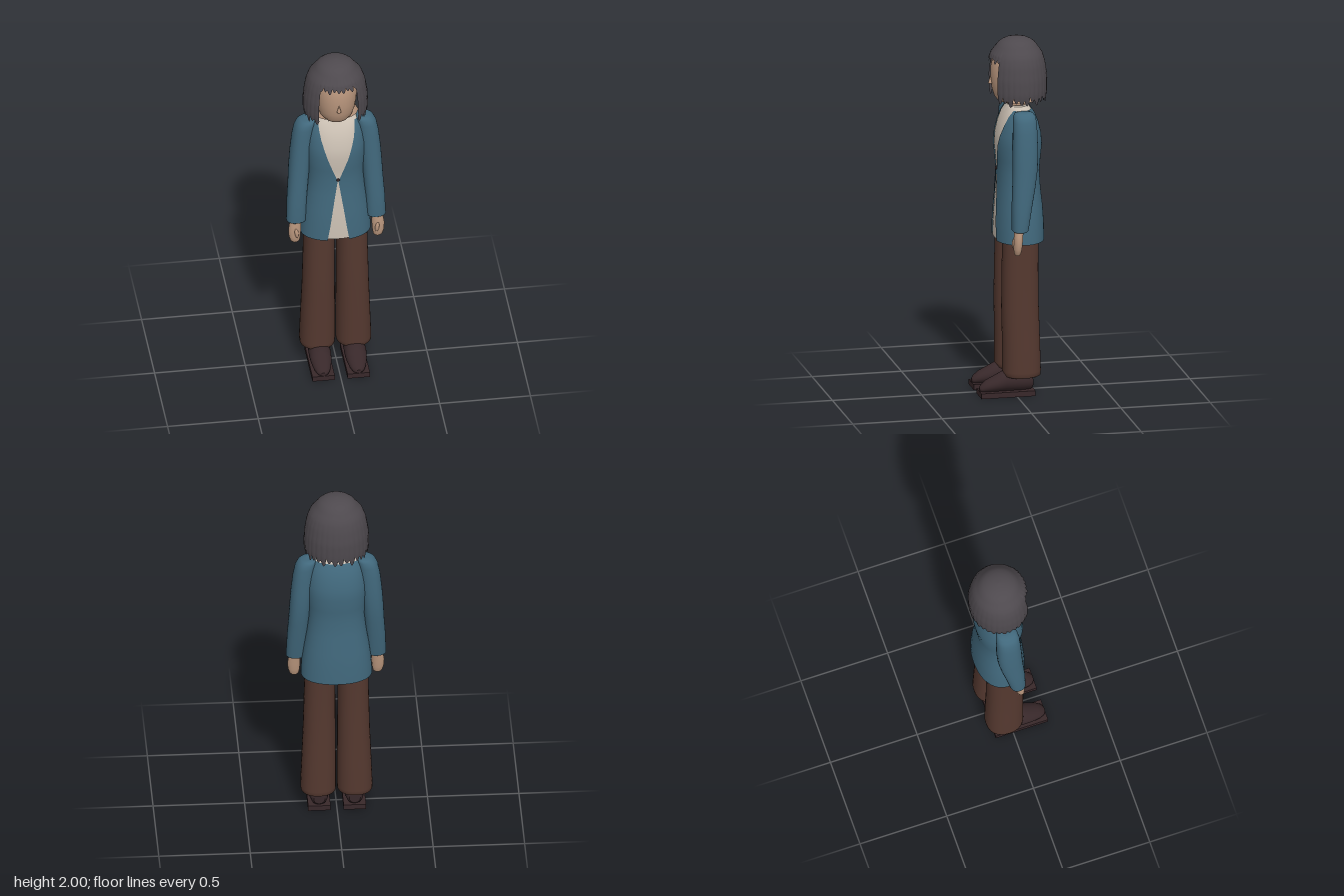
import * as THREE from 'three';

const mat = (name, color, side = THREE.FrontSide) => {
  const m = new THREE.MeshStandardMaterial({ color, side });
  m.name = name;
  return m;
};

// Stack of rounded rings [y, cx, cz, rx, rz, gap], bottom to top.
// gap is the half width of an opening at the front; n is the squareness.
function loft(rings, { n = 2, seg = 36, open = false, caps = true } = {}) {
  const pos = [], idx = [], cols = open ? seg + 1 : seg;
  const bend = (v) => Math.sign(v) * Math.abs(v) ** (2 / n);
  const addRing = ([y, cx, cz, rx, rz, gap = 0]) => {
    const a0 = open ? Math.asin(Math.min(1, (gap / rx) ** (n / 2))) : 0;
    for (let i = 0; i < cols; i++) {
      const a = a0 + (i / seg) * (2 * Math.PI - 2 * a0);
      pos.push(cx + rx * bend(Math.sin(a)), y, cz + rz * bend(Math.cos(a)));
    }
  };
  rings.forEach(addRing);
  for (let j = 0; j < rings.length - 1; j++)
    for (let i = 0; i < seg; i++) {
      const k = (i + 1) % cols, a = j * cols + i, b = j * cols + k;
      idx.push(a, b, b + cols, a, b + cols, a + cols);
    }
  if (caps && !open)
    [rings[0], rings[rings.length - 1]].forEach((r, top) => {
      const s = pos.length / 3;
      addRing(r);
      pos.push(r[1], r[0], r[2]);
      for (let i = 0; i < seg; i++) {
        const a = s + i, b = s + (i + 1) % seg;
        top ? idx.push(a, b, s + seg) : idx.push(b, a, s + seg);
      }
    });
  return build(pos, idx);
}

function build(pos, idx) {
  // pos uses [x, y, z] order; cap centres are written the same way
  const g = new THREE.BufferGeometry();
  g.setAttribute('position', new THREE.Float32BufferAttribute(pos, 3));
  g.setIndex(idx);
  g.computeVertexNormals();
  return g;
}

// Hair outline [y, rx, rz]
const HAIR = [[1.62, 0.163, 0.155], [1.7, 0.177, 0.164], [1.78, 0.175, 0.166], [1.86, 0.163, 0.155],
  [1.91, 0.145, 0.14], [1.95, 0.112, 0.112]];
function hairRadius(y) {
  let i = 0;
  while (i < HAIR.length - 2 && y > HAIR[i + 1][0]) i++;
  const [a, b] = [HAIR[i], HAIR[i + 1]];
  const t = (y - a[0]) / (b[0] - a[0]);
  return [a[1] + (b[1] - a[1]) * t, a[2] + (b[2] - a[2]) * t];
}

// Curtain of locks between two angles, with a pointed hem
function hairCurtain(a0, a1, locks, hem, depth, scale) {
  const cols = locks * 6, rows = 14, pos = [], idx = [];
  for (let j = 0; j <= rows; j++)
    for (let i = 0; i <= cols; i++) {
      const a = a0 + (a1 - a0) * i / cols, lock = Math.floor(i / 6);
      const p = (i % 6) / 6, edge = Math.abs(2 * p - 1);
      const low = hem + depth * edge ** 1.6 + depth * 0.4 * Math.sin(lock * 2.4);
      const y = low + (1.95 - low) * j / rows;
      const [rx, rz] = hairRadius(y);
      const s = scale * (1 + 0.018 * (1 - edge * edge) * (1 - j / rows));
      pos.push(rx * s * Math.sin(a), y, -0.03 + rz * s * Math.cos(a));
    }
  for (let j = 0; j < rows; j++)
    for (let i = 0; i < cols; i++) {
      const a = j * (cols + 1) + i, c = a + cols + 1;
      idx.push(a, a + 1, c + 1, a, c + 1, c);
    }
  return build(pos, idx);
}

export function createModel() {
  const skin = mat('skin', 0xb8957c);
  const hair = mat('hair', 0x4e494e, THREE.DoubleSide);
  const blue = mat('jacketBlue', 0x41687c, THREE.DoubleSide);
  const cream = mat('shirtCream', 0xcbc0b3, THREE.DoubleSide);
  const brown = mat('trouserBrown', 0x54382f);
  const dark = mat('shoeBrown', 0x38282a);
  const model = new THREE.Group();
  model.name = 'standingWoman';
  const add = (name, geo, m, x = 0, y = 0, z = 0, parent = model) => {
    const mesh = new THREE.Mesh(geo, m);
    mesh.name = name;
    mesh.position.set(x, y, z);
    parent.add(mesh);
    return mesh;
  };
  const ball = (rx, ry, rz) => new THREE.SphereGeometry(1, 24, 16).scale(rx, ry, rz);

  // Jacket, open at the front above and below one button
  const body = [
    [0.865, 0, -0.037, 0.195, 0.138, 0.06], [0.95, 0, -0.037, 0.19, 0.137, 0.046],
    [1.05, 0, -0.037, 0.178, 0.131, 0.032], [1.15, 0, -0.036, 0.162, 0.121, 0.017],
    [1.25, 0, -0.035, 0.152, 0.116, 0.002], [1.32, 0, -0.035, 0.157, 0.122, 0.028],
    [1.4, 0, -0.035, 0.165, 0.13, 0.056], [1.46, 0, -0.035, 0.164, 0.125, 0.074],
    [1.52, 0, -0.035, 0.156, 0.111, 0.09], [1.57, 0, -0.035, 0.143, 0.092, 0.098],
    [1.605, 0, -0.035, 0.122, 0.07, 0.1]];
  add('jacket', loft(body, { n: 2.2, seg: 56, open: true }), blue);
  add('jacketButton', ball(0.009, 0.009, 0.006), dark, 0, 1.26, 0.084);

  // Shirt under the jacket
  const inner = body.map(([y, x, z, rx, rz]) => [y, x, z, rx - 0.006, rz - 0.005]);
  inner[0][0] = 0.872;
  add('shirt', loft([...inner, [1.615, 0, -0.035, 0.075, 0.06]], { n: 2.2, seg: 48 }), cream);
  add('shirtCollar', loft([[1.585, 0, -0.035, 0.09, 0.078], [1.622, 0, -0.035, 0.06, 0.058]],
    { caps: false }), cream);

  // Neck and head
  add('neck', new THREE.CylinderGeometry(0.048, 0.052, 0.16, 28), skin, 0, 1.64, -0.035);
  add('head', loft([[1.632, 0, 0, 0.045, 0.05], [1.645, 0, 0, 0.07, 0.075], [1.67, 0, -0.003, 0.09, 0.096],
    [1.71, 0, -0.005, 0.103, 0.111], [1.76, 0, -0.006, 0.111, 0.119], [1.82, 0, -0.008, 0.115, 0.122],
    [1.88, 0, -0.015, 0.112, 0.12], [1.92, 0, -0.025, 0.1, 0.105]]), skin);
  add('headBase', new THREE.CylinderGeometry(0.1, 0.125, 0.045, 32).scale(1, 1, 0.75), skin, 0, 1.67, -0.035);
  add('nose', new THREE.ConeGeometry(0.012, 0.045, 12), skin, 0, 1.765, 0.117);

  // Hair: crown, long sides and back, fringe
  const dome = [[0, 2], [0.03, 1.998], [0.06, 1.99], [0.085, 1.978], [0.103, 1.963], [0.115, 1.946]];
  add('hairCrown', new THREE.LatheGeometry(dome.reverse().map((p) => new THREE.Vector2(...p)), 40),
    hair, 0, 0, -0.03);
  add('hairCurtain', hairCurtain(0.66, 2 * Math.PI - 0.66, 26, 1.65, 0.03, 1), hair);
  add('hairFringe', hairCurtain(-0.72, 0.72, 9, 1.872, 0.018, 1.01), hair);

  // Limbs, mirrored
  for (const s of [1, -1]) {
    const side = new THREE.Group();
    side.name = s > 0 ? 'leftLimbs' : 'rightLimbs';
    model.add(side);
    const part = (name, rings, m, opt) =>
      add(name, loft(rings.map(([y, x, ...r]) => [y, s * x, ...r]), opt), m, 0, 0, 0, side);

    part('sleeve', [
      [0.955, 0.22, 0, 0.047, 0.038], [0.962, 0.22, 0, 0.054, 0.045], [1.1, 0.215, -0.012, 0.054, 0.056],
      [1.2, 0.207, -0.024, 0.055, 0.063], [1.3, 0.2, -0.033, 0.057, 0.068], [1.4, 0.191, -0.036, 0.059, 0.069],
      [1.5, 0.181, -0.037, 0.058, 0.067], [1.56, 0.172, -0.037, 0.055, 0.065],
      [1.59, 0.162, -0.037, 0.05, 0.06], [1.604, 0.153, -0.037, 0.04, 0.05], [1.608, 0.148, -0.037, 0.02, 0.03]],
    blue, { n: 2.3, seg: 28 });
    part('hand', [
      [0.822, 0.228, 0.016, 0.014, 0.01], [0.832, 0.228, 0.016, 0.025, 0.018], [0.86, 0.23, 0.015, 0.032, 0.023],
      [0.9, 0.23, 0.013, 0.035, 0.025], [0.935, 0.227, 0.01, 0.032, 0.025], [0.98, 0.222, 0.005, 0.026, 0.024]],
    skin, { seg: 24 });
    add('thumb', ball(0.011, 0.03, 0.011), skin, s * 0.222, 0.888, 0.035, side).rotation.z = -s * 0.15;
    part('trouserLeg', [
      [0.11, 0.1, -0.035, 0.088, 0.094], [0.116, 0.1, -0.035, 0.096, 0.103], [0.14, 0.1, -0.035, 0.097, 0.105],
      [0.3, 0.097, -0.033, 0.094, 0.103], [0.5, 0.094, -0.028, 0.089, 0.102],
      [0.7, 0.092, -0.028, 0.086, 0.1], [0.9, 0.09, -0.031, 0.083, 0.098]],
    brown, { n: 2.3 });

    // Shoe upper is stacked heel to toe, then laid forward
    add('shoeUpper', loft([
      [-0.096, 0, -0.07, 0.03, 0.03], [-0.085, 0, -0.078, 0.045, 0.05], [-0.04, 0, -0.082, 0.056, 0.058],
      [0.06, 0, -0.082, 0.061, 0.058], [0.11, 0, -0.069, 0.057, 0.045], [0.16, 0, -0.056, 0.046, 0.034],
      [0.188, 0, -0.045, 0.032, 0.022], [0.2, 0, -0.04, 0.014, 0.011]], { seg: 28 }).rotateX(Math.PI / 2),
    dark, s * 0.097, 0, 0, side);
    add('shoeSole', new THREE.BoxGeometry(0.123, 0.03, 0.302), dark, s * 0.097, 0.015, 0.05, side);
  }
  return model;
}
